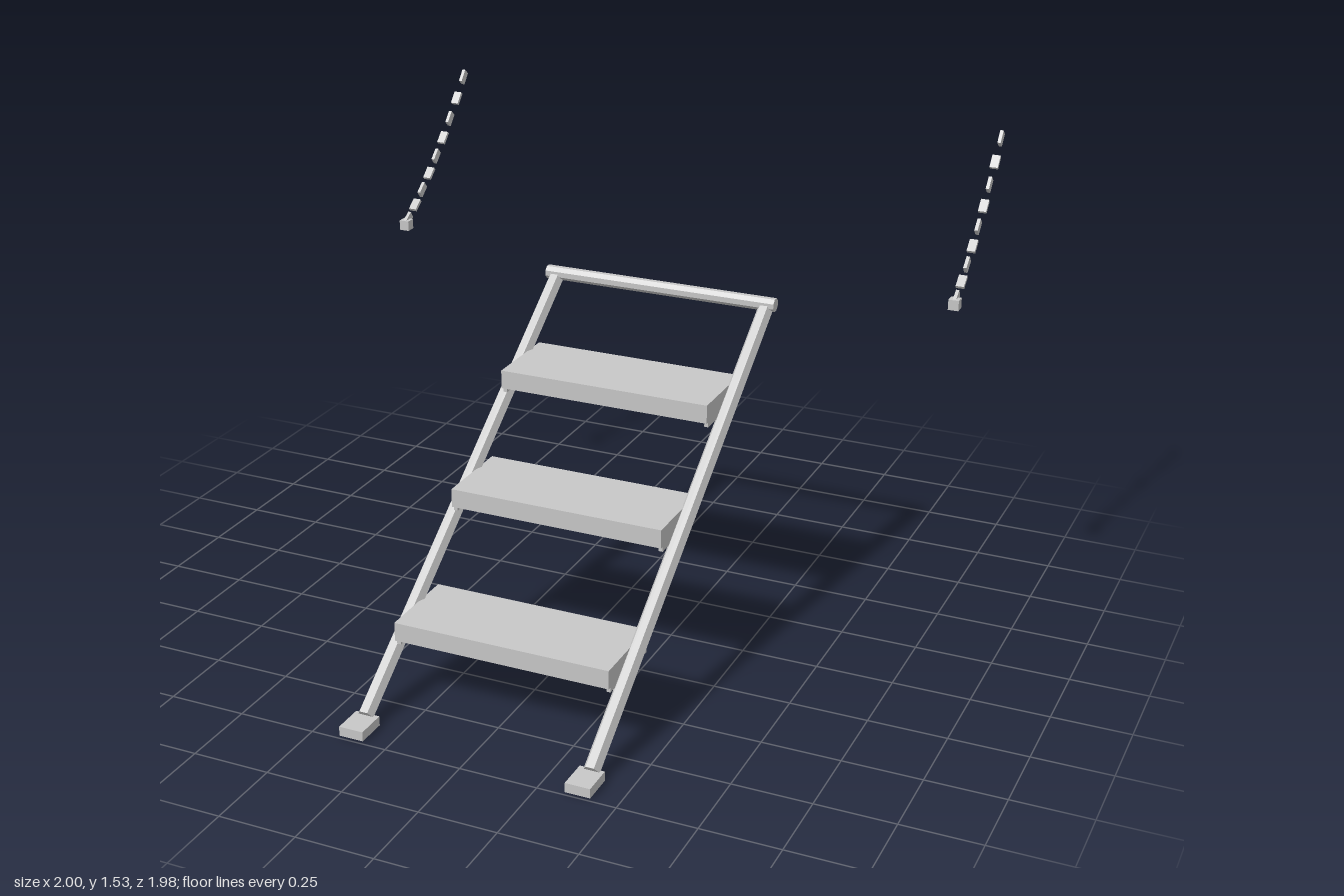
import * as THREE from 'three';

export function createModel() {
  const model = new THREE.Group();
  const metal = new THREE.MeshStandardMaterial({ color: 0xc8c8c8 });
  metal.name = 'light grey metal';
  metal.flatShading = true;

  const add = (parent, name, geometry, x, y, z) => {
    const mesh = new THREE.Mesh(geometry, metal);
    mesh.name = name;
    mesh.position.set(x, y, z);
    parent.add(mesh);
    return mesh;
  };
  const box = (parent, name, w, h, d, x, y, z) =>
    add(parent, name, new THREE.BoxGeometry(w, h, d), x, y, z);

  // Folded treads: plate, front lip and two side flanges, open underneath
  const width = 0.714, depth = 0.28, sheet = 0.013, plate = 0.02;
  [[0.594, 0.27], [0.21, 0.555], [-0.146, 0.826]].forEach(([z, top], i) => {
    const tread = new THREE.Group();
    tread.name = 'tread' + (i + 1);
    tread.position.set(0, top, z);
    model.add(tread);
    box(tread, 'treadPlate', width, plate, depth, 0, -plate / 2, 0);
    box(tread, 'frontLip', width, 0.061 - plate, sheet, 0, -(0.061 + plate) / 2, (depth - sheet) / 2);
    for (const s of [-1, 1]) {
      box(tread, 'sideFlange', sheet, 0.078 - plate, depth - sheet,
        s * (width - sheet) / 2, -(0.078 + plate) / 2, -sheet / 2);
    }
  });

  // Six-sided sloping rails with a foot plate at the bottom
  const low = new THREE.Vector3(0, 0.028, 0.894);
  const high = new THREE.Vector3(0, 1.0, -0.465);
  const run = high.clone().sub(low);
  const mid = low.clone().add(high).multiplyScalar(0.5);
  for (const s of [-1, 1]) {
    const rail = new THREE.CylinderGeometry(0.0265, 0.0265, run.length(), 6, 1, false, Math.PI / 2);
    rail.rotateX(Math.atan2(run.z, run.y));
    add(model, 'rail', rail, s * 0.375, mid.y, mid.z);
    box(model, 'foot', 0.08, 0.031, 0.102, s * 0.373, 0.0155, 0.936);
  }

  // Round bar across the top of the rails
  const bar = new THREE.CylinderGeometry(0.023, 0.023, 0.816, 8, 1, false, Math.PI / 8);
  bar.rotateZ(Math.PI / 2);
  add(model, 'topBar', bar, 0, 1.013, -0.465);

  // Side chains: flat links turned alternately along a sagging curve
  const sag = new THREE.QuadraticBezierCurve3(
    new THREE.Vector3(0, 1.1, -0.535),
    new THREE.Vector3(0, 1.24, -0.7475),
    new THREE.Vector3(0, 1.507, -0.97));
  for (const s of [-1, 1]) {
    const chain = new THREE.Group();
    chain.name = 'chain';
    chain.position.x = s * 0.983;
    model.add(chain);
    box(chain, 'chainAnchor', 0.034, 0.034, 0.034, 0, 1.085, -0.522);
    for (let i = 0; i <= 8; i++) {
      const p = sag.getPoint(i / 8), t = sag.getTangent(i / 8);
      const upright = i % 2 === 0;
      const link = box(chain, 'chainLink', upright ? 0.011 : 0.027, upright ? 0.027 : 0.011, 0.045, 0, p.y, p.z);
      link.rotation.x = Math.atan2(-t.y, t.z);
    }
  }
  return model;
}
